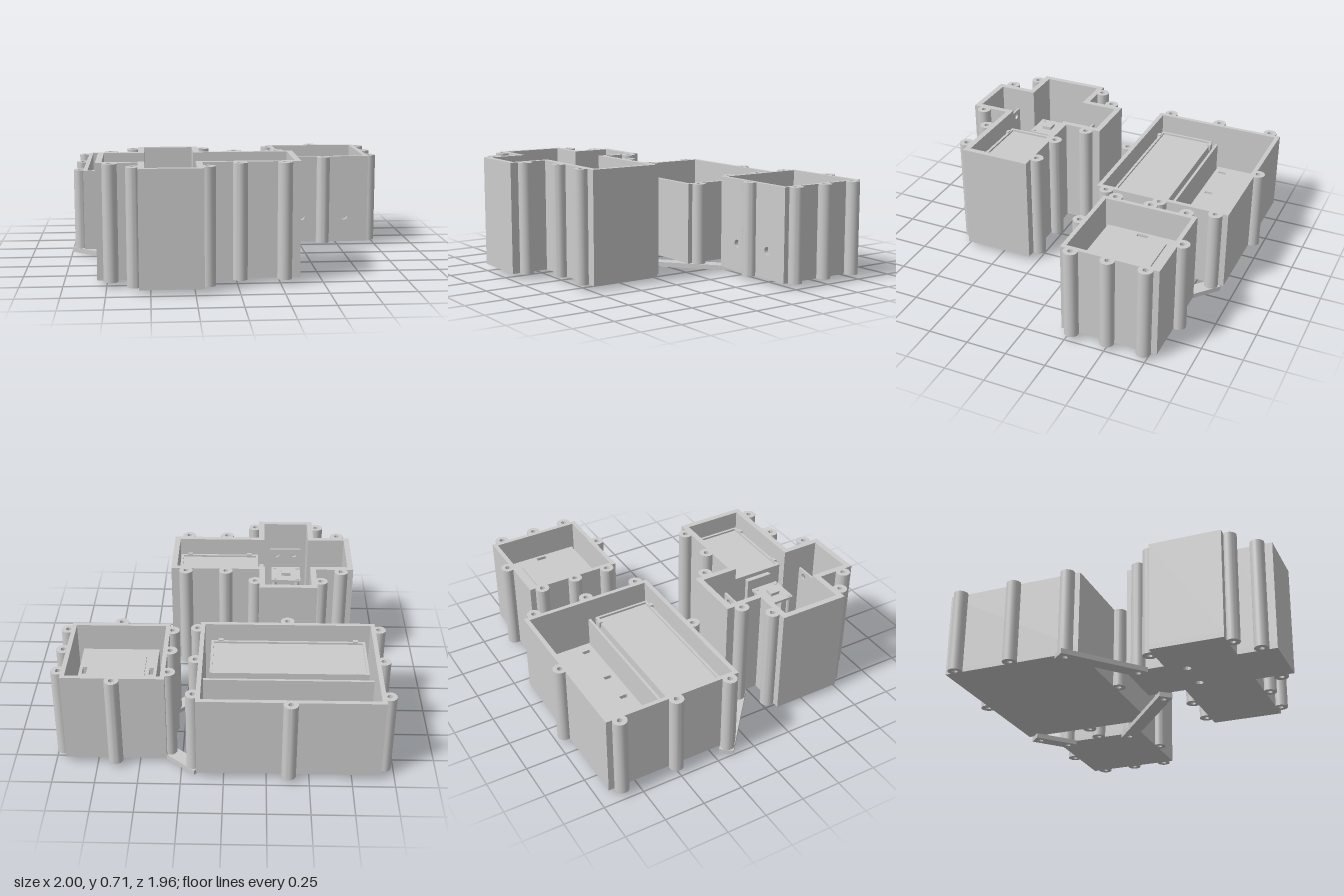
import * as THREE from 'three';
import { toCreasedNormals } from 'three/addons/utils/BufferGeometryUtils.js';

const material = new THREE.MeshStandardMaterial({ color: 0xcccccc });
const BASE = 0.03, FLOOR = 0.06;

// Plan outlines are lists of [x, z]
const plan = (pts, Type = THREE.Shape) => new Type(pts.map(([x, z]) => new THREE.Vector2(x, -z)));
const rect = (x0, x1, z0, z1) => [[x0, z0], [x0, z1], [x1, z1], [x1, z0]];
const circle = (x, z, r, Type = THREE.Path) => {
  const c = new Type();
  c.absarc(x, -z, r, 0, Math.PI * 2);
  return c;
};

function add(parent, name, geometry) {
  const mesh = new THREE.Mesh(toCreasedNormals(geometry, 0.6), material);
  mesh.name = name;
  parent.add(mesh);
  return mesh;
}

// Upright prism from a plan shape between two heights
function prism(parent, name, shape, y0, y1, holes = []) {
  shape.holes.push(...holes);
  const g = new THREE.ExtrudeGeometry(shape, { depth: y1 - y0, bevelEnabled: false, curveSegments: 14 });
  g.rotateX(-Math.PI / 2).translate(0, y0, 0);
  return add(parent, name, g);
}

const block = (parent, name, x0, x1, z0, z1, y0, y1, holes = []) =>
  prism(parent, name, plan(rect(x0, x1, z0, z1)), y0, y1, holes);

// Upright board facing z with two round holes
function standingBoard(parent, name, x0, x1, z, y0, y1, thick, holes) {
  const s = new THREE.Shape([[x0, y0], [x1, y0], [x1, y1], [x0, y1]].map(p => new THREE.Vector2(...p)));
  for (const [x, y, r] of holes) {
    const h = new THREE.Path();
    h.absarc(x, y, r, 0, Math.PI * 2);
    s.holes.push(h);
  }
  const g = new THREE.ExtrudeGeometry(s, { depth: thick, bevelEnabled: false });
  return add(parent, name, g.translate(0, 0, z));
}

// Hollow screw columns along the outside walls
function bosses(parent, spots, top) {
  for (const [x, z] of spots)
    prism(parent, 'screwBoss', circle(x, z, 0.043, THREE.Shape), BASE, top, [circle(x, z, 0.016)]);
}

// Raised tray with a thin rim and small clips on its long sides
function tray(parent, x0, x1, z0, z1, top) {
  const t = 0.016;
  block(parent, 'trayBody', x0, x1, z0, z1, FLOOR, top - 0.012);
  block(parent, 'trayRim', x0, x1, z0, z1, top - 0.012, top,
    [plan(rect(x0 + t, x1 - t, z0 + t, z1 - t), THREE.Path)]);
  for (const x of [x0 + 0.06, x1 - 0.06])
    for (const z of [z0, z1])
      block(parent, 'trayClip', x - 0.015, x + 0.015, z - 0.012, z + 0.012, top - 0.03, top + 0.008);
}

function largeCase() {
  const g = new THREE.Group(), top = 0.54;
  g.name = 'largeCase';
  const outer = rect(-0.92, 0.16, -0.93, -0.08);
  prism(g, 'floor', plan(outer), BASE, FLOOR);
  prism(g, 'walls', plan(outer), FLOOR, top, [plan(rect(-0.893, 0.133, -0.903, -0.107), THREE.Path)]);
  block(g, 'divider', -0.893, 0.133, -0.512, -0.495, FLOOR, 0.4);
  // Rear platform with two rows of slots
  const slots = [];
  for (const x of [-0.77, -0.485, -0.28, 0.005])
    for (const z of [-0.825, -0.595])
      slots.push(plan(rect(x - 0.012, x + 0.012, z - 0.024, z + 0.024), THREE.Path));
  block(g, 'rearPlatform', -0.84, 0.08, -0.875, -0.54, FLOOR, 0.26, slots);
  tray(g, -0.865, 0.095, -0.48, -0.118, 0.43);
  const spots = [[-0.38, -0.945], [-0.38, -0.06]];
  for (const x of [-0.94, 0.177]) for (const z of [-0.855, -0.5, -0.15]) spots.push([x, z]);
  bosses(g, spots, top);
  return g;
}

function squareCase() {
  const g = new THREE.Group(), top = 0.6;
  g.name = 'squareCase';
  block(g, 'floor', 0.34, 0.94, -0.8, -0.205, BASE, FLOOR);
  // Three-sided wall, closed by a front wall with two cable holes
  prism(g, 'walls', plan([[0.34, -0.232], [0.367, -0.232], [0.367, -0.773], [0.913, -0.773],
    [0.913, -0.232], [0.94, -0.232], [0.94, -0.8], [0.34, -0.8]]), FLOOR, top);
  standingBoard(g, 'frontWall', 0.34, 0.94, -0.232, FLOOR, top, 0.027, [[0.5, 0.2, 0.024], [0.785, 0.2, 0.024]]);
  const slots = [0.442, 0.842].map(x =>
    plan(rect(x - 0.013, x + 0.013, -0.535, -0.468), THREE.Path));
  block(g, 'platform', 0.41, 0.875, -0.735, -0.265, FLOOR, 0.45, slots);
  block(g, 'centrePad', 0.48, 0.8, -0.665, -0.34, 0.45, 0.462);
  const spots = [[0.64, -0.82], [0.64, -0.187]];
  for (const x of [0.324, 0.957]) for (const z of [-0.725, -0.5, -0.277]) spots.push([x, z]);
  bosses(g, spots, top);
  return g;
}

// Plus-shaped outline, inset by d
function cross(d) {
  const x0 = -0.805 + d, x1 = -0.565 + d, x2 = -0.2 - d, x3 = 0.367 - d;
  const z0 = 0.065 + d, z1 = 0.3 + d, z2 = 0.74 - d, z3 = 0.975 - d;
  return [[x0, z1], [x0, z2], [x1, z2], [x1, z3], [x2, z3], [x2, z2],
    [x3, z2], [x3, z1], [x2, z1], [x2, z0], [x1, z0], [x1, z1]];
}

function crossCase() {
  const g = new THREE.Group(), top = 0.71;
  g.name = 'crossCase';
  prism(g, 'floor', plan(cross(0)), BASE, FLOOR, [circle(-0.49, 0.415, 0.024), circle(-0.275, 0.415, 0.024)]);
  prism(g, 'walls', plan(cross(0)), FLOOR, top, [plan(cross(0.036), THREE.Path)]);
  tray(g, -0.195, 0.325, 0.347, 0.697, 0.6);
  // Upright boards on bases in the front and rear arms
  for (const [z0, z1, z] of [[0.155, 0.32, 0.232], [0.71, 0.88, 0.795]]) {
    block(g, 'boardBase', -0.49, -0.275, z0, z1, FLOOR, 0.09);
    standingBoard(g, 'standingBoard', -0.49, -0.275, z, 0.09, 0.59, 0.013,
      [[-0.44, 0.55, 0.018], [-0.325, 0.55, 0.018]]);
  }
  block(g, 'sideBoard', -0.232, -0.203, 0.435, 0.605, FLOOR, 0.58);
  // Small stand in the middle
  for (const x of [-0.455, -0.305])
    for (const z of [0.45, 0.59])
      prism(g, 'standPost', circle(x, z, 0.012, THREE.Shape), FLOOR, 0.56);
  block(g, 'standPlate', -0.475, -0.285, 0.43, 0.61, 0.54, 0.555);
  block(g, 'standPad', -0.41, -0.35, 0.49, 0.55, 0.555, 0.575);
  // Low board with four mounting posts in the side arm
  block(g, 'sideArmBoard', -0.755, -0.555, 0.435, 0.605, FLOOR, 0.09);
  block(g, 'sideArmPad', -0.71, -0.605, 0.47, 0.57, 0.09, 0.11);
  for (const x of [-0.73, -0.58])
    for (const z of [0.46, 0.58])
      prism(g, 'mountingPost', circle(x, z, 0.013, THREE.Shape), 0.09, 0.115);
  const spots = [];
  for (const x of [-0.59, -0.175]) for (const z of [0.15, 0.89]) spots.push([x, z]);
  for (const x of [-0.725, 0.015, 0.272]) for (const z of [0.275, 0.765]) spots.push([x, z]);
  bosses(g, spots, top);
  return g;
}

// Flat strap under two screw bosses, with a hole at each end
function link(parent, [ax, az], [bx, bz]) {
  const len = Math.hypot(bx - ax, bz - az), w = 0.043;
  const m = prism(parent, 'linkStrap', plan(rect(-w, len + w, -w, w)), 0, BASE,
    [circle(0, 0, 0.016), circle(len, 0, 0.016)]);
  m.position.set(ax, 0, az);
  m.rotation.y = -Math.atan2(bz - az, bx - ax);
}

export function createModel() {
  const model = new THREE.Group();
  model.name = 'linkedCases';
  model.add(largeCase(), squareCase(), crossCase());
  link(model, [-0.94, -0.15], [-0.59, 0.15]);
  link(model, [-0.175, 0.15], [0.324, -0.277]);
  link(model, [0.177, -0.855], [0.324, -0.725]);
  return model;
}
